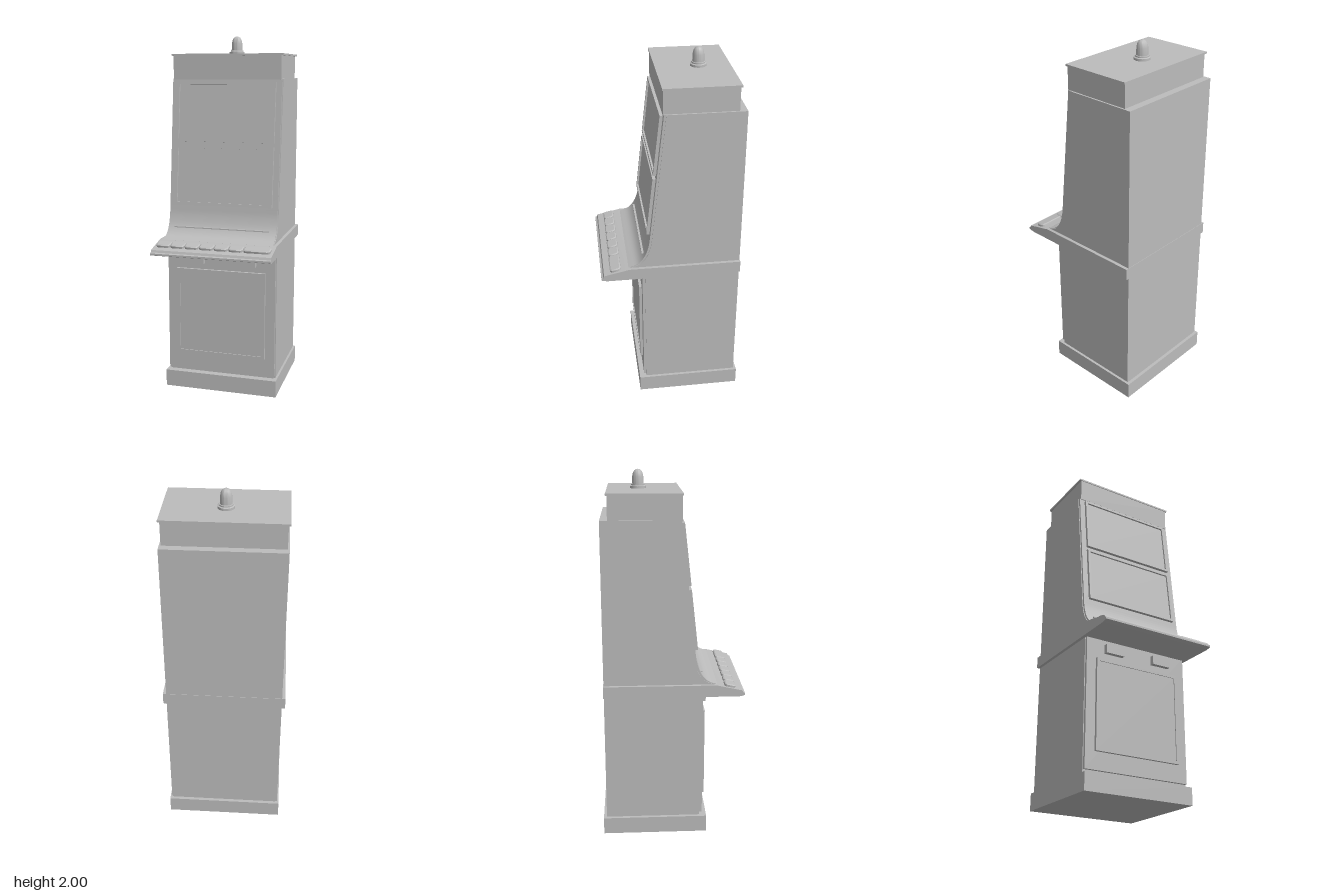
import * as THREE from 'three';
import { toCreasedNormals } from 'three/addons/utils/BufferGeometryUtils.js';

const grey = new THREE.MeshStandardMaterial({ color: 0xbcbcbc });
grey.name = 'cabinet grey';

export function createModel() {
  const model = new THREE.Group();
  model.name = 'arcadeCabinet';

  const add = (name, geometry, parent = model) => {
    const mesh = new THREE.Mesh(geometry, grey);
    mesh.name = name;
    parent.add(mesh);
    return mesh;
  };
  // Box given by its limits on each axis
  const box = (name, x0, x1, y0, y1, z0, z1, parent) => {
    const g = new THREE.BoxGeometry(x1 - x0, y1 - y0, z1 - z0);
    g.translate((x0 + x1) / 2, (y0 + y1) / 2, (z0 + z1) / 2);
    return add(name, g, parent);
  };
  // Side profile of (z, y) points, extruded across the width
  const profile = (name, points, halfWidth) => {
    const shape = new THREE.Shape(points.map(([z, y]) => new THREE.Vector2(z, y)));
    const g = new THREE.ExtrudeGeometry(shape, { depth: halfWidth * 2, bevelEnabled: false });
    g.translate(0, 0, -halfWidth);
    g.rotateY(-Math.PI / 2);
    return add(name, toCreasedNormals(g, 0.5));
  };
  const rectangle = (Type, w, h) => new Type([
    new THREE.Vector2(-w, -h), new THREE.Vector2(w, -h),
    new THREE.Vector2(w, h), new THREE.Vector2(-w, h)]);
  // Raised rectangular frame, front face at z = 0
  const frame = (name, w, h, rim, depth, parent) => {
    const shape = rectangle(THREE.Shape, w, h);
    shape.holes.push(rectangle(THREE.Path, w - rim, h - rim));
    const g = new THREE.ExtrudeGeometry(shape, { depth, bevelEnabled: false });
    g.translate(0, 0, -depth);
    return add(name, g, parent);
  };

  // Plinth and lower cabinet
  box('plinth', -0.325, 0.325, 0, 0.095, -0.39, 0.19);
  box('plinthNeck', -0.305, 0.305, 0.09, 0.12, -0.372, 0.15);
  box('lowerBody', -0.315, 0.315, 0.1, 0.83, -0.373, 0.15);
  box('lowerFrontPlate', -0.311, 0.311, 0.115, 0.83, 0.15, 0.165);

  // Lower door and the two small plates above it
  const door = new THREE.Group();
  door.name = 'door';
  door.position.set(0, 0.46, 0.18);
  model.add(door);
  frame('doorFrame', 0.256, 0.25, 0.017, 0.02, door);
  box('doorPanel', -0.24, 0.24, -0.234, 0.234, -0.02, -0.005, door);
  for (const s of [-1, 1]) {
    box(s > 0 ? 'leftSlotPlate' : 'rightSlotPlate', s * 0.148 - 0.055, s * 0.148 + 0.055, 0.745, 0.795, 0.16, 0.19);
  }

  // Control console
  profile('console', [[-0.375, 0.82], [0.36, 0.82], [0.383, 0.825], [0.39, 0.828],
    [0.39, 0.838], [0.38, 0.842], [0.375, 0.854], [0.235, 0.885], [-0.375, 0.885]], 0.333);

  // Upper cabinet: body with a curved front skin
  const curve = new THREE.CatmullRomCurve3([[0.12, 1.07], [0.129, 1.01], [0.152, 0.947],
    [0.187, 0.906], [0.24, 0.884]].map(([z, y]) => new THREE.Vector3(z, y, 0)));
  const front = [[0.045, 1.765], ...curve.getPoints(16).map((p) => [p.x, p.y])];
  const inner = front.map(([z, y]) => [z - 0.012, y]);
  profile('upperBody', [[-0.373, 1.765], [-0.373, 0.87], [0.225, 0.87], ...inner.reverse()], 0.315);
  profile('upperFrontSkin', [[0, 1.765], [0.0, 0.87], [0.24, 0.87], ...front.slice().reverse()], 0.311);
  box('lightStrip', -0.272, 0.272, 0.941, 0.947, 0.13, 0.163);

  // Two framed, recessed screens
  [['upperScreen', 1.585, 0.081], ['lowerScreen', 1.235, 0.119]].forEach(([name, y, z]) => {
    const screen = new THREE.Group();
    screen.name = name;
    screen.position.set(0, y, z);
    screen.rotation.x = -Math.atan(0.109);
    model.add(screen);
    frame('screenFrame', 0.28, 0.165, 0.014, 0.035, screen);
    box('screenGlass', -0.268, 0.268, -0.153, 0.153, -0.035, -0.01, screen);
  });

  // Row of buttons on the sloping console
  const buttons = new THREE.Group();
  buttons.name = 'buttons';
  buttons.position.set(0, 0.868, 0.31);
  buttons.rotation.x = Math.atan(0.22);
  model.add(buttons);
  const starts = [-0.319, -0.238, -0.157, -0.075, 0.007, 0.089, 0.171];
  starts.forEach((x0, i) => {
    const w = (i === 6 ? 0.147 : 0.079) / 2, h = 0.03, r = 0.012, b = 0.006;
    const s = new THREE.Shape();
    const a = w - b, c = h - b;
    s.absarc(a - r, c - r, r, 0, Math.PI / 2);
    s.absarc(r - a, c - r, r, Math.PI / 2, Math.PI);
    s.absarc(r - a, r - c, r, Math.PI, Math.PI * 1.5);
    s.absarc(a - r, r - c, r, Math.PI * 1.5, Math.PI * 2);
    const g = new THREE.ExtrudeGeometry(s, { depth: 0.012, bevelEnabled: true,
      bevelSize: b, bevelThickness: 0.004, bevelSegments: 1, curveSegments: 4 });
    g.rotateX(-Math.PI / 2);
    g.translate(x0 + w, -0.001, 0);
    add('button', toCreasedNormals(g, 0.5), buttons);
  });

  // Top box with a thin overhanging lid
  box('topBox', -0.306, 0.306, 1.76, 1.895, -0.333, 0.05);
  box('topLid', -0.316, 0.316, 1.89, 1.9, -0.34, 0.054);

  // Beacon on the roof
  const beacon = new THREE.LatheGeometry([[0, 1.898], [0.043, 1.898], [0.043, 1.912], [0.036, 1.915],
    [0.036, 1.922], [0.031, 1.923], [0.03, 1.96], [0.026, 1.98], [0.019, 1.992], [0.01, 1.998], [0, 2]]
    .map(([r, y]) => new THREE.Vector2(r, y)), 32);
  beacon.translate(0, 0, -0.172);
  add('beacon', toCreasedNormals(beacon, 0.7));

  return model;
}
